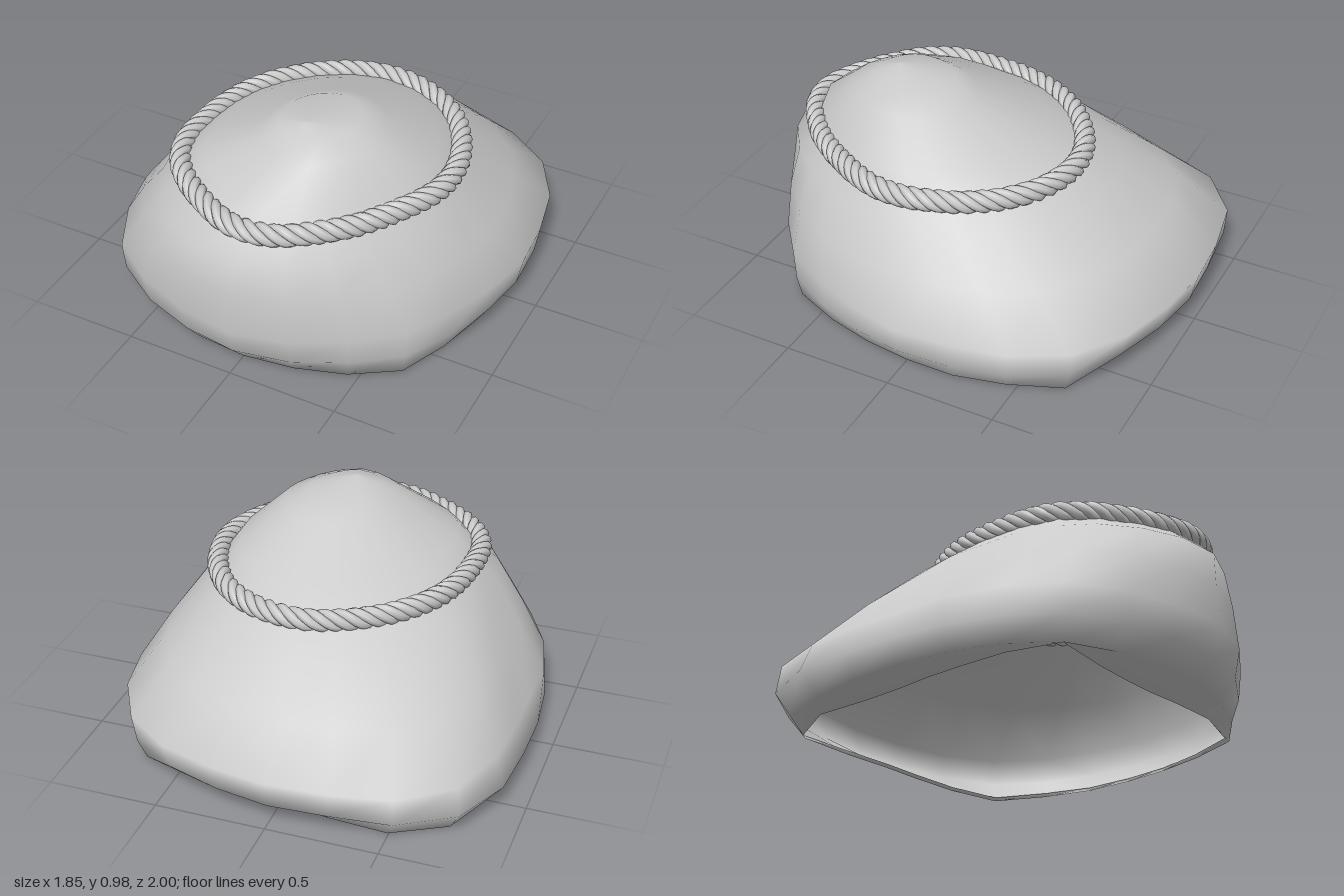
import * as THREE from 'three';

const SIDES = 24;

// Radii at even angles, starting at +x and turning towards +z
const NECK = [0.57, 0.53, 0.565, 0.645, 0.62, 0.62, 0.57, 0.575, 0.605, 0.65, 0.64, 0.60];
const neck = (s) => NECK.map((r) => r * s);

// Folded-in opening, sole, low wall and widest outline
const RIM = [0.83, 0.83, 0.85, 0.90, 0.80, 0.70, 0.65, 0.66, 0.73, 0.91, 0.80, 0.715,
  0.68, 0.68, 0.74, 0.90, 1.0, 0.86, 0.80, 0.81, 0.87, 0.96, 0.89, 0.86];
const SOLE = [0.83, 0.83, 0.86, 0.92, 0.90, 0.88, 0.88, 0.89, 0.91, 0.94, 0.92, 0.89,
  0.88, 0.90, 0.95, 1.03, 0.99, 0.87, 0.81, 0.82, 0.88, 0.97, 0.90, 0.86];
const LOW = [0.90, 0.89, 0.90, 0.94, 0.935, 0.95, 0.965, 0.965, 0.98, 1.0, 0.96, 0.93,
  0.925, 0.955, 1.04, 1.10, 1.07, 0.99, 0.97, 0.96, 0.98, 1.01, 0.97, 0.92];
const WIDE = [0.925, 0.90, 0.905, 0.945, 0.95, 0.975, 1.0, 0.99, 1.0, 1.01, 0.96, 0.92,
  0.88, 0.91, 0.99, 1.08, 1.08, 1.02, 1.0, 0.995, 1.02, 1.03, 0.99, 0.94];

// Cross-sections from the opening up to the crown: height, centre x, centre z, radii
const SECTIONS = [
  [0.015, 0, 0, RIM],
  [0.0, 0, 0, SOLE],
  [0.1, 0, 0, LOW],
  [0.23, 0, 0, WIDE],
  [0.42, 0, 0.1, [0.80, 0.80, 0.84, 0.885, 0.87, 0.82, 0.74, 0.83, 0.92, 0.89, 0.90, 0.85]],
  [0.59, 0.03, 0.2, [0.65, 0.63, 0.69, 0.765, 0.74, 0.70, 0.64, 0.69, 0.75, 0.78, 0.76, 0.69]],
  [0.70, 0.05, 0.23, neck(0.95)],
  [0.76, 0.07, 0.27, neck(0.84)],
  [0.91, 0.12, 0.34, neck(0.45)],
  [0.955, 0.10, 0.34, neck(0.29)],
  [0.98, 0.08, 0.43, neck(0)],
];

// Smooth periodic interpolation of a list of radii
function radiusAt(radii, angle) {
  const n = radii.length;
  const t = (angle / (Math.PI * 2)) * n;
  const i = Math.floor(t), f = t - i;
  const [a, b, c, d] = [-1, 0, 1, 2].map((k) => radii[(i + k + n) % n]);
  return b + 0.5 * f * (c - a + f * (2 * a - 5 * b + 4 * c - d + f * (3 * (b - c) + d - a)));
}

function outlinePoint([y, cx, cz, radii], angle) {
  const r = radiusAt(radii, angle);
  return new THREE.Vector3(cx + r * Math.cos(angle), y, cz + r * Math.sin(angle));
}

// Hollow shell lofted through the cross-sections, open below
function shellGeometry() {
  const rings = SECTIONS.length, pos = [], index = [];
  for (let i = 0; i < SIDES; i++) {
    const angle = (i / SIDES) * Math.PI * 2;
    for (const section of SECTIONS) pos.push(...outlinePoint(section, angle).toArray());
  }
  for (let i = 0; i < SIDES; i++) {
    for (let k = 0; k < rings - 1; k++) {
      const a = i * rings + k;
      const b = ((i + 1) % SIDES) * rings + k;
      index.push(a, a + 1, b);
      if (k < rings - 2) index.push(b, a + 1, b + 1);
    }
  }
  const geo = new THREE.BufferGeometry();
  geo.setAttribute('position', new THREE.Float32BufferAttribute(pos, 3));
  geo.setIndex(index);
  geo.computeVertexNormals();
  return geo;
}

// One rope strand winding around the neck line
class Strand extends THREE.Curve {
  constructor(phase) {
    super();
    this.phase = phase;
  }
  getPoint(t, target = new THREE.Vector3()) {
    const angle = (t - Math.floor(t)) * Math.PI * 2;
    const p = outlinePoint([0.695, 0.05, 0.22, NECK], angle);
    const twist = angle * 16 + this.phase, offset = 0.028;
    const out = offset * Math.cos(twist);
    return target.set(
      p.x + out * Math.cos(angle),
      p.y + offset * Math.sin(twist),
      p.z + out * Math.sin(angle),
    );
  }
}

export function createModel() {
  const model = new THREE.Group();
  model.name = 'ropedHood';

  const shell = new THREE.Mesh(
    shellGeometry(),
    new THREE.MeshStandardMaterial({ color: 0xcccccc, side: THREE.DoubleSide }),
  );
  shell.name = 'shell';
  model.add(shell);

  // Four twisted strands form the rope
  const rope = new THREE.Group();
  rope.name = 'rope';
  const ropeMaterial = new THREE.MeshStandardMaterial({ color: 0xcccccc });
  for (let i = 0; i < 4; i++) {
    const strand = new THREE.Mesh(
      new THREE.TubeGeometry(new Strand((i * Math.PI) / 2), 400, 0.022, 7, true),
      ropeMaterial,
    );
    strand.name = `ropeStrand${i + 1}`;
    rope.add(strand);
  }
  model.add(rope);
  return model;
}
